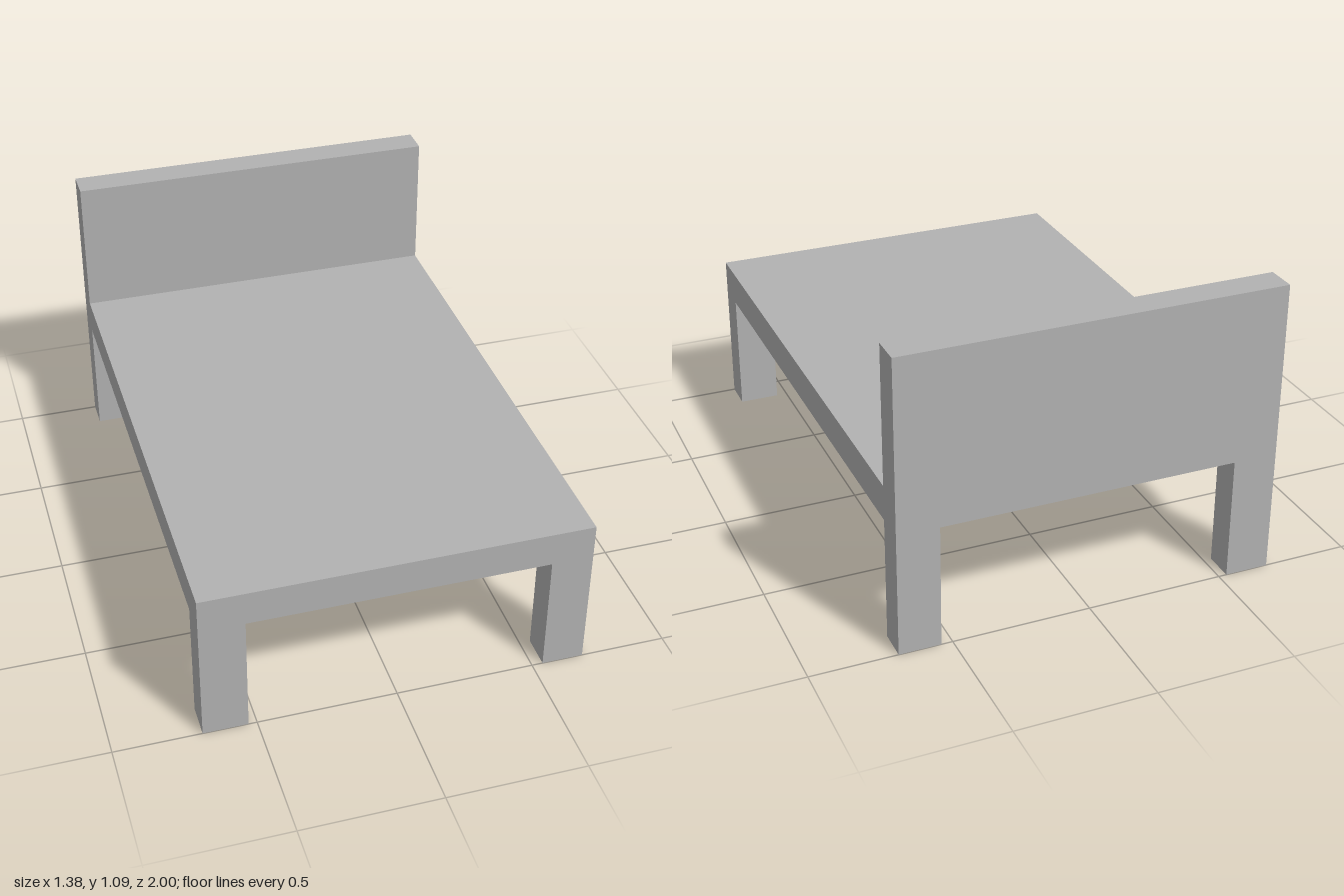
import * as THREE from 'three';

const LEFT = 0.69, RIGHT = -0.69;            // outer sides
const LEG_LEFT = 0.54, LEG_RIGHT = -0.53;    // inner leg faces
const UNDERSIDE = 0.453, DECK = 0.58, TOP = 1.087;
const BACK = -1, HEAD_FRONT = -0.89, FOOT_BACK = 0.88, FRONT = 1;

// End frame: a panel on two legs, cut as one arch and extruded from z0 to z1
function endFrame(name, height, z0, z1, material) {
  const shape = new THREE.Shape([
    [RIGHT, 0], [LEG_RIGHT, 0], [LEG_RIGHT, UNDERSIDE], [LEG_LEFT, UNDERSIDE],
    [LEG_LEFT, 0], [LEFT, 0], [LEFT, height], [RIGHT, height],
  ].map(([x, y]) => new THREE.Vector2(x, y)));
  const geometry = new THREE.ExtrudeGeometry(shape, { depth: z1 - z0, bevelEnabled: false });
  const mesh = new THREE.Mesh(geometry, material);
  mesh.name = name;
  mesh.position.z = z0;
  return mesh;
}

export function createModel() {
  const bed = new THREE.Group();
  bed.name = 'bed';
  const grey = new THREE.MeshStandardMaterial({ color: 0xb2b2b2 });
  grey.name = 'plain grey';

  // Tall headboard and low foot end, each with its pair of legs
  bed.add(endFrame('headboardWithLegs', TOP, BACK, HEAD_FRONT, grey));
  bed.add(endFrame('footEndWithLegs', DECK, FOOT_BACK, FRONT, grey));

  // Flat deck between the two ends
  const deck = new THREE.Mesh(
    new THREE.BoxGeometry(LEFT - RIGHT, DECK - UNDERSIDE, FOOT_BACK - HEAD_FRONT), grey);
  deck.name = 'deck';
  deck.position.set(0, (DECK + UNDERSIDE) / 2, (FOOT_BACK + HEAD_FRONT) / 2);
  bed.add(deck);

  return bed;
}
